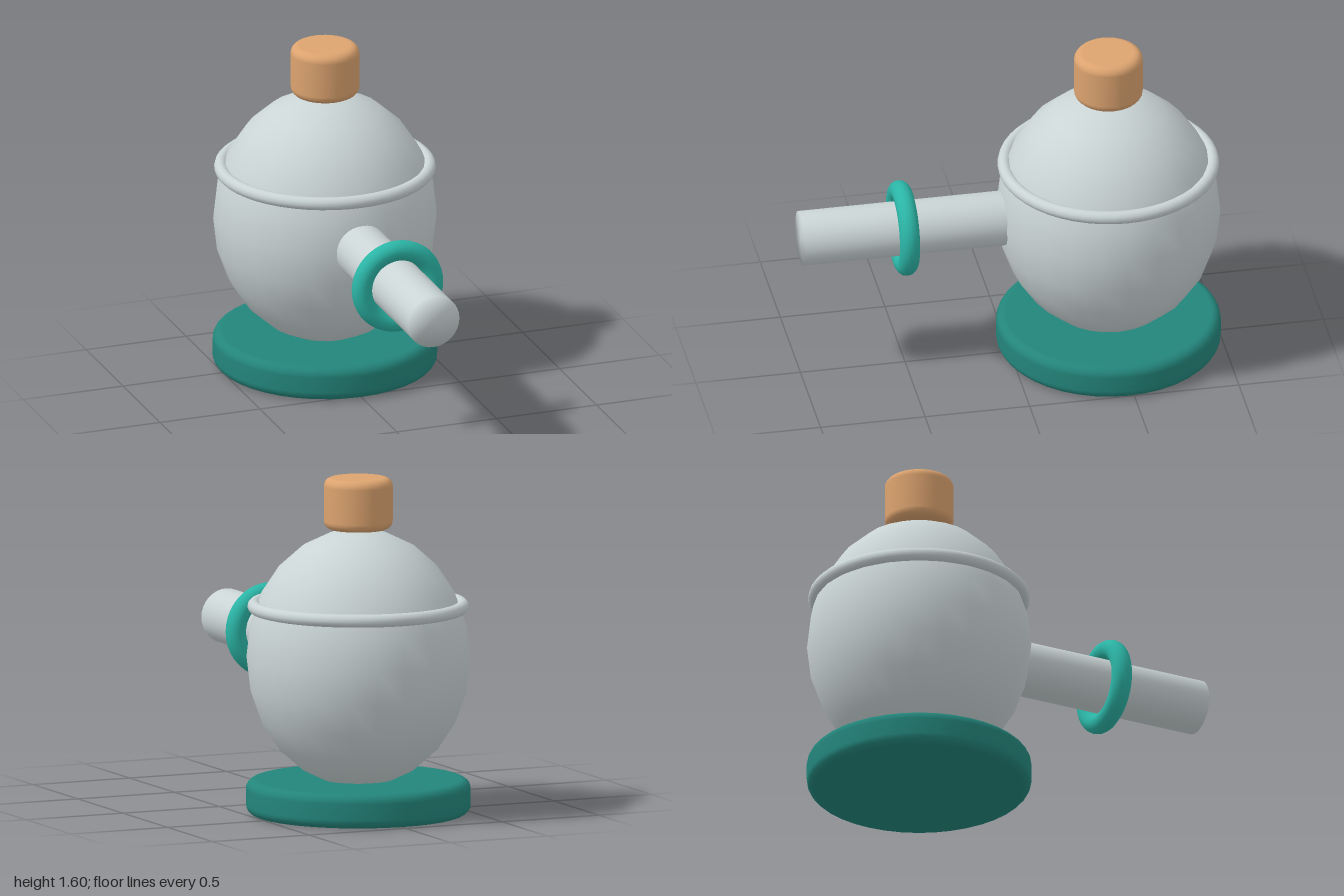
import * as THREE from 'three';

const material = (name, color) => {
  const m = new THREE.MeshStandardMaterial({ color });
  m.name = name;
  return m;
};

// Solid disc standing on y = 0 with quarter-round top and bottom edges
function roundedDisc(radius, height, bevel, segments) {
  const points = [new THREE.Vector2(0, 0)];
  const steps = 5;
  for (const [cy, start] of [[bevel, -Math.PI / 2], [height - bevel, 0]]) {
    for (let i = 0; i <= steps; i++) {
      const a = start + (i / steps) * Math.PI / 2;
      points.push(new THREE.Vector2(radius - bevel + bevel * Math.cos(a), cy + bevel * Math.sin(a)));
    }
  }
  points.push(new THREE.Vector2(0, height));
  return new THREE.LatheGeometry(points, segments);
}

export function createModel() {
  const model = new THREE.Group();
  model.name = 'roundPot';

  const metal = material('paleMetal', 0xcad4d5);
  const darkTeal = material('darkTeal', 0x23857b);
  const teal = material('brightTeal', 0x2bb5a6);
  const wood = material('tanWood', 0xdca36f);

  const centreZ = -0.472;
  const spoutY = 0.74;
  const add = (name, geometry, mat, y, z) => {
    const mesh = new THREE.Mesh(geometry, mat);
    mesh.name = name;
    mesh.position.set(0, y, z);
    model.add(mesh);
    return mesh;
  };

  // Base and egg-shaped body
  add('base', roundedDisc(0.528, 0.165, 0.045, 40), darkTeal, 0, centreZ);
  const body = new THREE.SphereGeometry(0.527, 24, 12).scale(1, 0.61 / 0.527, 1);
  add('body', body, metal, spoutY, centreZ);

  // Rim band around the shoulder
  const rim = new THREE.TorusGeometry(0.49, 0.031, 12, 48).rotateX(Math.PI / 2);
  add('rimBand', rim, metal, 0.985, centreZ);

  // Knob on top
  add('knob', roundedDisc(0.162, 0.245, 0.04, 32), wood, 1.35, centreZ);

  // Straight spout towards the front, softly shaded over its closed end
  const start = -0.2;
  const spoutProfile = [[0, 0], [0.129, 0], [0.129, 1 - start], [0, 1 - start]];
  const spout = new THREE.LatheGeometry(spoutProfile.map(([r, h]) => new THREE.Vector2(r, h)), 32);
  add('spout', spout.rotateX(Math.PI / 2), metal, spoutY, start);

  // Collar ring on the spout
  add('spoutRing', new THREE.TorusGeometry(0.178, 0.048, 16, 40), teal, spoutY, 0.51);

  return model;
}
